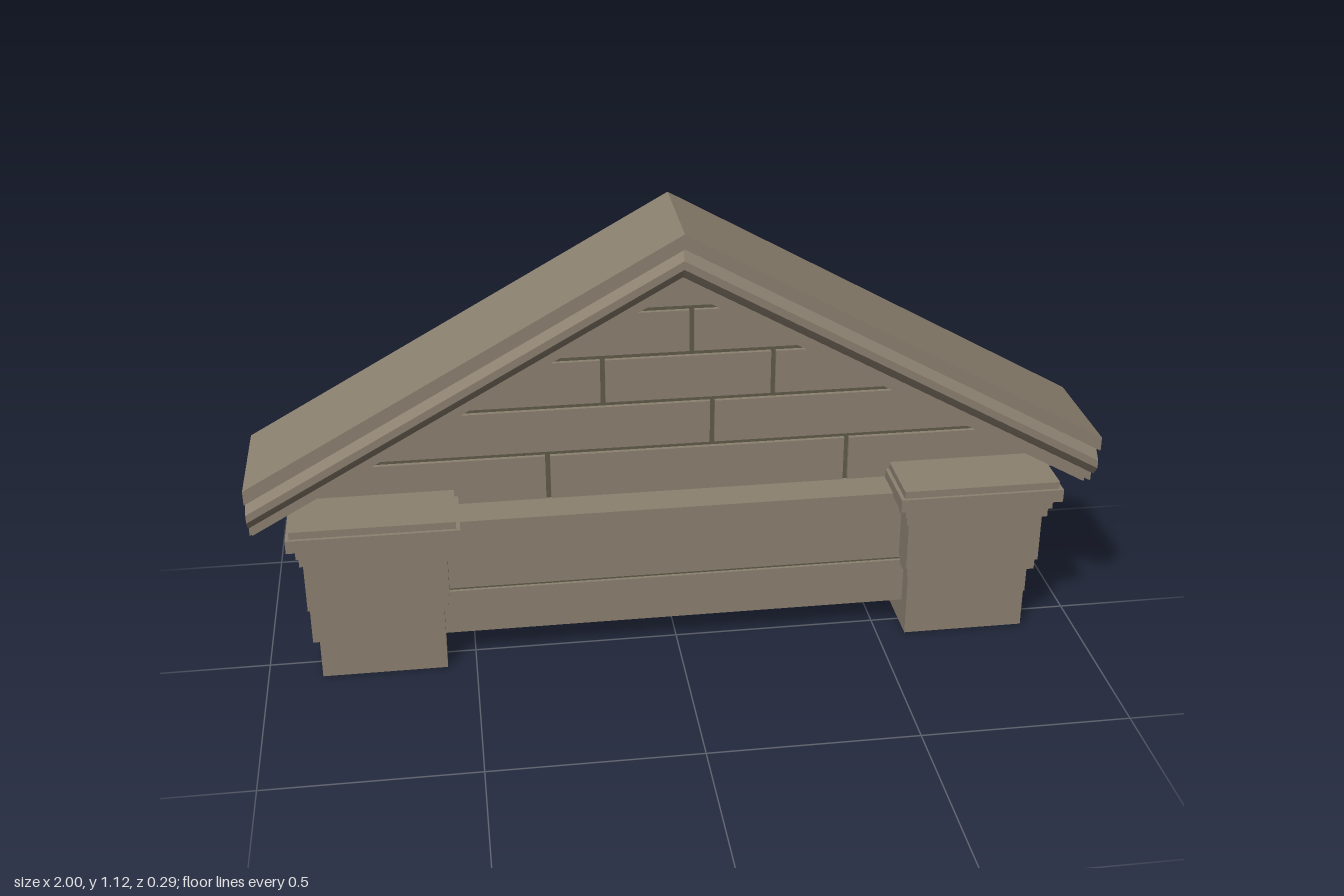
import * as THREE from 'three';

const stone = new THREE.MeshStandardMaterial({ color: 0x8c8170 });
stone.name = 'stone';
const mortar = new THREE.MeshStandardMaterial({ color: 0x5f5a49 });
mortar.name = 'mortar';

const SLOPE = 0.56; // fall of the roof per unit of x
const BACK = -0.135; // back plane of the wall

// Box given by its limits
function box(parent, name, x0, x1, y0, y1, z0, z1, mat = stone) {
  const mesh = new THREE.Mesh(new THREE.BoxGeometry(x1 - x0, y1 - y0, z1 - z0), mat);
  mesh.position.set((x0 + x1) / 2, (y0 + y1) / 2, (z0 + z1) / 2);
  mesh.name = name;
  parent.add(mesh);
}

// Flat outline in x and y, extruded from z0 to z1
function plate(parent, name, points, z0, z1, mat) {
  const shape = new THREE.Shape(points.map(([x, y]) => new THREE.Vector2(x, y)));
  const geo = new THREE.ExtrudeGeometry(shape, { depth: z1 - z0, bevelEnabled: false });
  geo.translate(0, 0, z0);
  const mesh = new THREE.Mesh(geo, mat);
  mesh.name = name;
  parent.add(mesh);
}

// Moulded gable cornice: one profile (z, y) swept over the ridge
function rakingCornice(parent) {
  const profile = [
    [0.143, 1.115], [0.143, 1.08], [0.112, 1.076], [0.136, 1.05], [0.136, 1.03],
    [0.126, 1.018], [0.115, 1.005], [0.1, 1.0], [0.1, 0.978], [0.06, 0.974], [0.06, 0.955],
    [-0.125, 0.955], [-0.125, 0.975], [-0.132, 0.978], [-0.132, 1.0],
    [-0.138, 1.005], [-0.138, 1.08], [-0.145, 1.082], [-0.145, 1.115],
  ].map(([z, y]) => new THREE.Vector2(z, y));
  const geo = new THREE.ExtrudeGeometry(new THREE.Shape(profile), { depth: 2, steps: 2, bevelEnabled: false });
  const p = geo.attributes.position;
  for (let i = 0; i < p.count; i++) {
    const x = 1 - p.getZ(i);
    p.setXYZ(i, x, p.getY(i) - SLOPE * Math.abs(x), p.getX(i));
  }
  geo.computeVertexNormals();
  const mesh = new THREE.Mesh(geo, stone);
  mesh.name = 'rakingCornice';
  parent.add(mesh);
}

// Triangular wall of stone blocks over a mortar core
function gableWall(parent) {
  const g = new THREE.Group();
  g.name = 'gableWall';
  parent.add(g);
  const half = (y) => (0.945 - y) / SLOPE;
  plate(g, 'mortarCore', [[-half(0.395), 0.395], [half(0.395), 0.395], [0, 0.945]], -0.127, -0.03, mortar);

  const gap = 0.006;
  const courses = [
    { y0: 0.395, y1: 0.52, joints: [-0.305, 0.42] },
    { y0: 0.52, y1: 0.64, joints: [0.09] },
    { y0: 0.64, y1: 0.76, joints: [-0.17, 0.235] },
    { y0: 0.76, y1: 0.875, joints: [0.04] },
    { y0: 0.875, y1: 0.951, joints: [] },
  ];
  for (const { y0, y1, joints } of courses) {
    const b = y0 + gap, t = y1 - gap;
    const edges = [null, ...joints, null];
    for (let i = 0; i < edges.length - 1; i++) {
      const l = edges[i], r = edges[i + 1];
      const points = [
        [l === null ? -half(b) : l + gap, b],
        [r === null ? half(b) : r - gap, b],
        [r === null ? half(t) : r - gap, t],
      ];
      if (half(t) > 0.001) points.push([l === null ? -half(t) : l + gap, t]);
      plate(g, 'stoneBlock', points, -0.03, -0.02, stone);
    }
  }
}

// Beam between the pilasters with stepped mouldings on top
function entablature(parent) {
  const g = new THREE.Group();
  g.name = 'entablature';
  parent.add(g);
  box(g, 'lowerBeam', -0.89, 0.89, 0.07, 0.186, BACK, 0.023);
  box(g, 'beamJoint', -0.885, 0.885, 0.186, 0.196, BACK + 0.005, 0.015, mortar);
  box(g, 'upperBeam', -0.89, 0.89, 0.196, 0.335, BACK, 0.025);
  box(g, 'lowerMoulding', -0.893, 0.893, 0.335, 0.36, BACK, 0.037);
  box(g, 'middleMoulding', -0.898, 0.898, 0.36, 0.378, BACK, 0.048);
  box(g, 'ledge', -0.904, 0.904, 0.378, 0.398, BACK, 0.063);
}

// Block pilaster with a stepped capital, mirrored by side
function pilaster(parent, side) {
  const g = new THREE.Group();
  g.name = side > 0 ? 'leftPilaster' : 'rightPilaster';
  parent.add(g);
  const part = (name, inner, outer, y0, y1, z0, z1, mat) =>
    box(g, name, Math.min(side * inner, side * outer), Math.max(side * inner, side * outer), y0, y1, z0, z1, mat);
  part('foot', 0.57, 0.87, 0, 0.168, BACK, 0.067);
  part('footJoint', 0.575, 0.865, 0.168, 0.178, -0.05, 0.06, mortar);
  part('shaftBase', 0.56, 0.882, 0.176, 0.204, 0, 0.093);
  part('shaft', 0.555, 0.888, 0.204, 0.335, 0, 0.098);
  const capital = [
    [0.545, 0.895, 0.335, 0.364, 0.115],
    [0.537, 0.9, 0.364, 0.39, 0.13],
    [0.521, 0.919, 0.39, 0.422, 0.146],
    [0.53, 0.91, 0.422, 0.44, 0.138],
  ];
  for (const [inner, outer, y0, y1, z] of capital) part('capitalStep', inner, outer, y0, y1, -0.02, z);
}

export function createModel() {
  const model = new THREE.Group();
  model.name = 'pediment';
  rakingCornice(model);
  gableWall(model);
  entablature(model);
  for (const side of [1, -1]) pilaster(model, side);
  return model;
}
